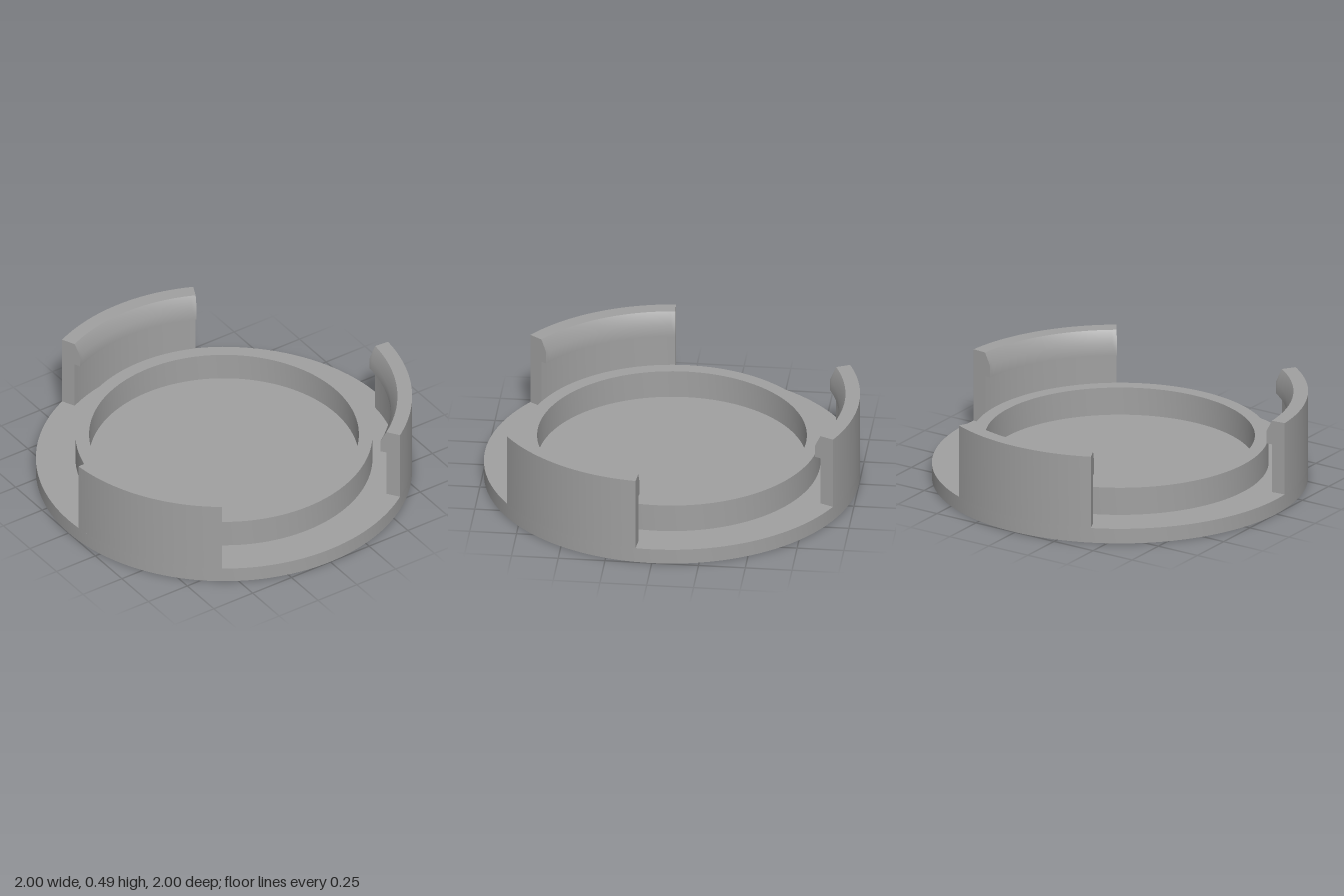
import * as THREE from 'three';
import { mergeGeometries, toCreasedNormals } from 'three/addons/utils/BufferGeometryUtils.js';

const CREASE = 0.5;
const toPoints = (list) => list.map(([r, y]) => new THREE.Vector2(r, y));

// Flat end face of a revolved profile at the angle phi
function endCap(points, phi, flip) {
  const cap = new THREE.ShapeGeometry(new THREE.Shape(points));
  cap.rotateY(phi - Math.PI / 2);
  if (flip) cap.setIndex(Array.from(cap.index.array).reverse());
  return cap;
}

// Closed profile swept over part of a turn, with both ends capped
function arcSolid(points, start, length) {
  const wall = new THREE.LatheGeometry([...points, points[0]], 32, start, length);
  const merged = mergeGeometries([
    wall, endCap(points, start, false), endCap(points, start + length, true),
  ]);
  return toCreasedNormals(merged, CREASE);
}

export function createModel() {
  const group = new THREE.Group();
  const grey = new THREE.MeshStandardMaterial({ color: 0xa0a0a0 });
  grey.name = 'plain grey';

  // Round plate with a raised ring
  const basePoints = toPoints([
    [0, 0], [1, 0], [1, 0.083], [0.79, 0.083],
    [0.79, 0.237], [0.717, 0.237], [0.717, 0.083], [0, 0.083],
  ]);
  const base = new THREE.Mesh(
    toCreasedNormals(new THREE.LatheGeometry(basePoints, 128), CREASE), grey);
  base.name = 'basePlateWithRing';
  group.add(base);

  // Three snap clips, each with an inward lip and a sloped lead-in
  const clipPoints = toPoints([
    [0.922, 0.083], [1, 0.083], [1, 0.488], [0.922, 0.488],
    [0.888, 0.42], [0.888, 0.354], [0.922, 0.354],
  ]);
  const half = THREE.MathUtils.degToRad(25);
  const centres = { backClip: 180, leftClip: 60, rightClip: -60 };
  for (const [name, degrees] of Object.entries(centres)) {
    const start = THREE.MathUtils.degToRad(degrees) - half;
    const clip = new THREE.Mesh(arcSolid(clipPoints, start, half * 2), grey);
    clip.name = name;
    group.add(clip);
  }
  return group;
}
